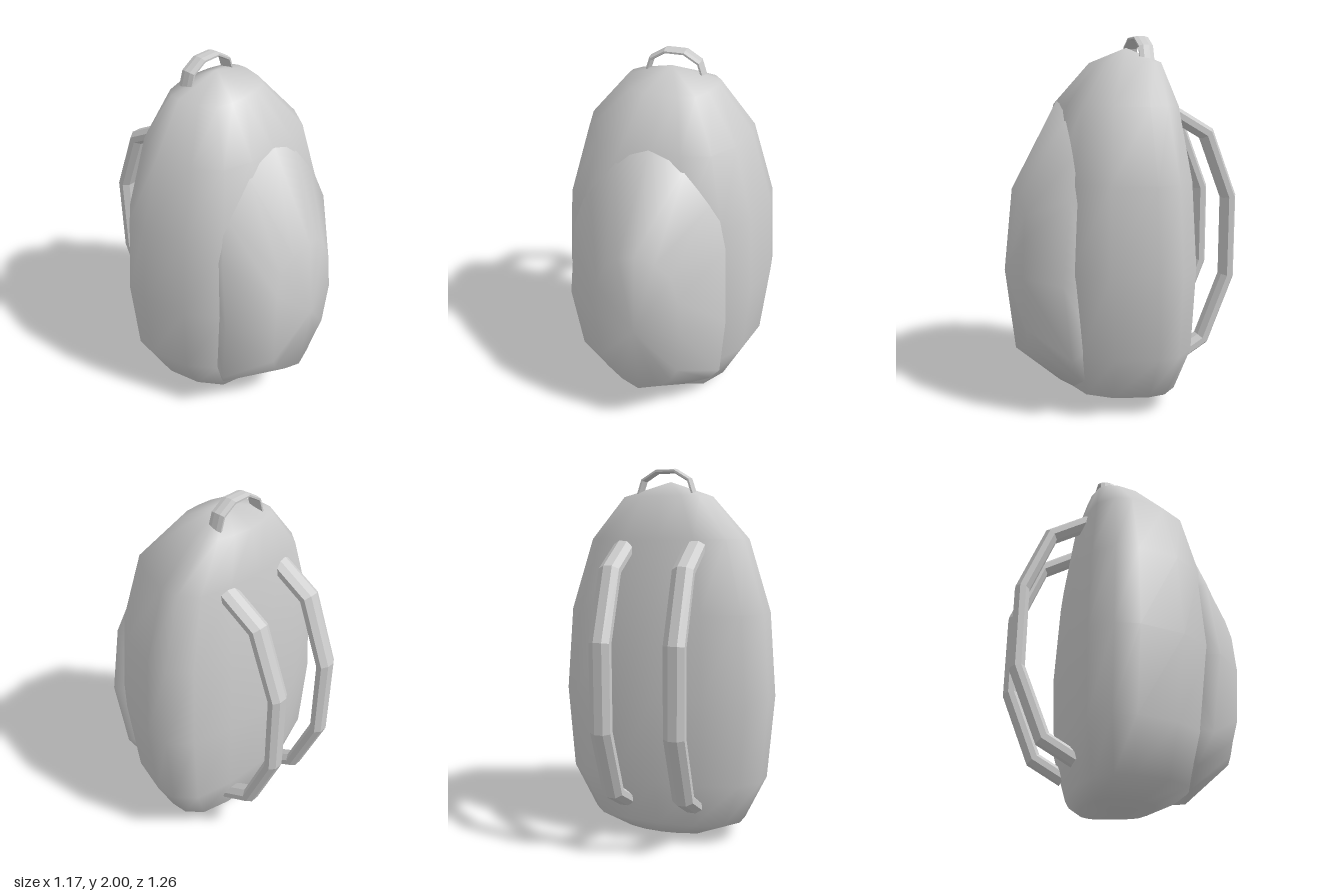
import * as THREE from 'three';

const smooth = new THREE.MeshStandardMaterial({ color: 0xcccccc });
const faceted = new THREE.MeshStandardMaterial({ color: 0xcccccc, flatShading: true });

// Skin closed rings of [x, y, z] and close both ends with a single point
function loft(rings, start, end) {
  const n = rings[0].length;
  const centre = (r) => [0, 1, 2].map((k) => r.reduce((s, p) => s + p[k], 0) / n);
  const pts = [...rings.flat(), start ?? centre(rings[0]), end ?? centre(rings.at(-1))];
  const first = pts.length - 2, last = pts.length - 1, top = (rings.length - 1) * n;
  const tris = [];
  for (let j = 0; j < n; j++) {
    const k = (j + 1) % n;
    for (let i = 0; i < top; i += n) {
      tris.push([i + j, i + k, i + n + j], [i + k, i + n + k, i + n + j]);
    }
    tris.push([first, k, j], [last, top + j, top + k]);
  }
  // Turn the faces outward if the enclosed volume is negative
  const v = pts.map((p) => new THREE.Vector3(...p));
  const volume = tris.reduce((s, [a, b, c]) => s + v[a].dot(v[b].clone().cross(v[c])), 0);
  if (volume < 0) tris.forEach((t) => t.reverse());
  const geometry = new THREE.BufferGeometry();
  geometry.setAttribute('position', new THREE.Float32BufferAttribute(pts.flat(), 3));
  geometry.setIndex(tris.flat());
  geometry.computeVertexNormals();
  return geometry;
}

// Mirror a half outline that runs from x = 0 round to x = 0
const mirrorX = (half) => [...half, ...half.slice(1, -1).reverse().map(([x, ...r]) => [-x, ...r])];

// Mitred octagonal band along a flat path of [u, v]; place(u, v, across) maps into space
function band(path, across, thick, place) {
  const p = path.map(([u, v]) => new THREE.Vector2(u, v));
  const rings = p.map((c, i) => {
    const a = c.clone().sub(p[Math.max(i - 1, 0)]).normalize();
    const b = p[Math.min(i + 1, p.length - 1)].clone().sub(c).normalize();
    const t = a.clone().add(b).normalize();
    const half = thick / t.dot(i ? a : b);
    return Array.from({ length: 8 }, (_, k) => {
      const angle = ((k + 0.5) / 8) * Math.PI * 2;
      const s = (half * Math.sin(angle)) / Math.cos(Math.PI / 8);
      const w = (across * Math.cos(angle)) / Math.cos(Math.PI / 8);
      return place(c.x - t.y * s, c.y + t.x * s, w);
    });
  });
  return loft(rings);
}

export function createModel() {
  const group = new THREE.Group();
  const add = (name, geometry, material) => {
    const mesh = new THREE.Mesh(geometry, material);
    mesh.name = name;
    group.add(mesh);
  };

  // Body: one plan outline (x share, depth share) fitted to each level
  const plan = mirrorX([
    [0, 0], [0.44, 0.025], [0.81, 0.1], [0.98, 0.24], [1, 0.4],
    [0.89, 0.7], [0.68, 0.91], [0.35, 0.985], [0, 1],
  ]);
  const levels = [ // y, half width, back z, front z
    [0.035, 0.24, -0.22, 0.15], [0.11, 0.43, -0.285, 0.31], [0.36, 0.55, -0.35, 0.37],
    [0.81, 0.585, -0.37, 0.43], [1.26, 0.55, -0.345, 0.4], [1.64, 0.43, -0.29, 0.32],
    [1.86, 0.24, -0.225, 0.13],
  ];
  const bodyRings = levels.map(([y, w, back, front]) =>
    plan.map(([x, t]) => [x * w, y, back + t * (front - back)]));
  add('bagBody', loft(bodyRings, [0, 0.005, -0.05], [0, 1.94, -0.06]), smooth);

  // Front pocket: buried back edge, visible rim, raised ring, then the crown
  const rim = mirrorX([
    [0, 1.66, 0.33], [0.18, 1.58, 0.31], [0.33, 1.42, 0.295], [0.405, 1.18, 0.36],
    [0.435, 0.76, 0.41], [0.405, 0.35, 0.36], [0.33, 0.2, 0.29], [0.19, 0.12, 0.3], [0, 0.085, 0.33],
  ]);
  const buried = rim.map(([x, y, z]) => [x * 0.88, 0.8 + (y - 0.8) * 0.88, z - 0.14]);
  const raised = rim.map(([x, y, z]) =>
    [x * 0.53, 0.76 + (y - 0.76) * (y > 0.76 ? 0.49 : 0.67), 0.55 + (z - 0.33) * 0.3 + 0.03 * (1 - Math.abs(x) / 0.435)]);
  add('frontPocket', loft([buried, rim, raised], [0, 0.8, 0.15], [0, 0.76, 0.63]), smooth);

  // Shoulder straps
  const strapPath = [ // y, z
    [1.6, -0.255], [1.485, -0.455], [1.135, -0.595], [0.685, -0.595], [0.325, -0.45], [0.23, -0.285],
  ];
  for (const [name, side] of [['leftStrap', 1], ['rightStrap', -1]]) {
    add(name, band(strapPath, 0.055, 0.037, (y, z, w) => [side * 0.193 + w, y, z]), faceted);
  }

  // Carry handle
  const handlePath = [
    [-0.15, 1.87], [-0.125, 1.945], [-0.05, 1.99], [0.05, 1.99], [0.125, 1.945], [0.15, 1.87],
  ];
  add('topHandle', band(handlePath, 0.04, 0.011, (x, y, w) => [x, y, -0.128 + w]), faceted);

  return group;
}
